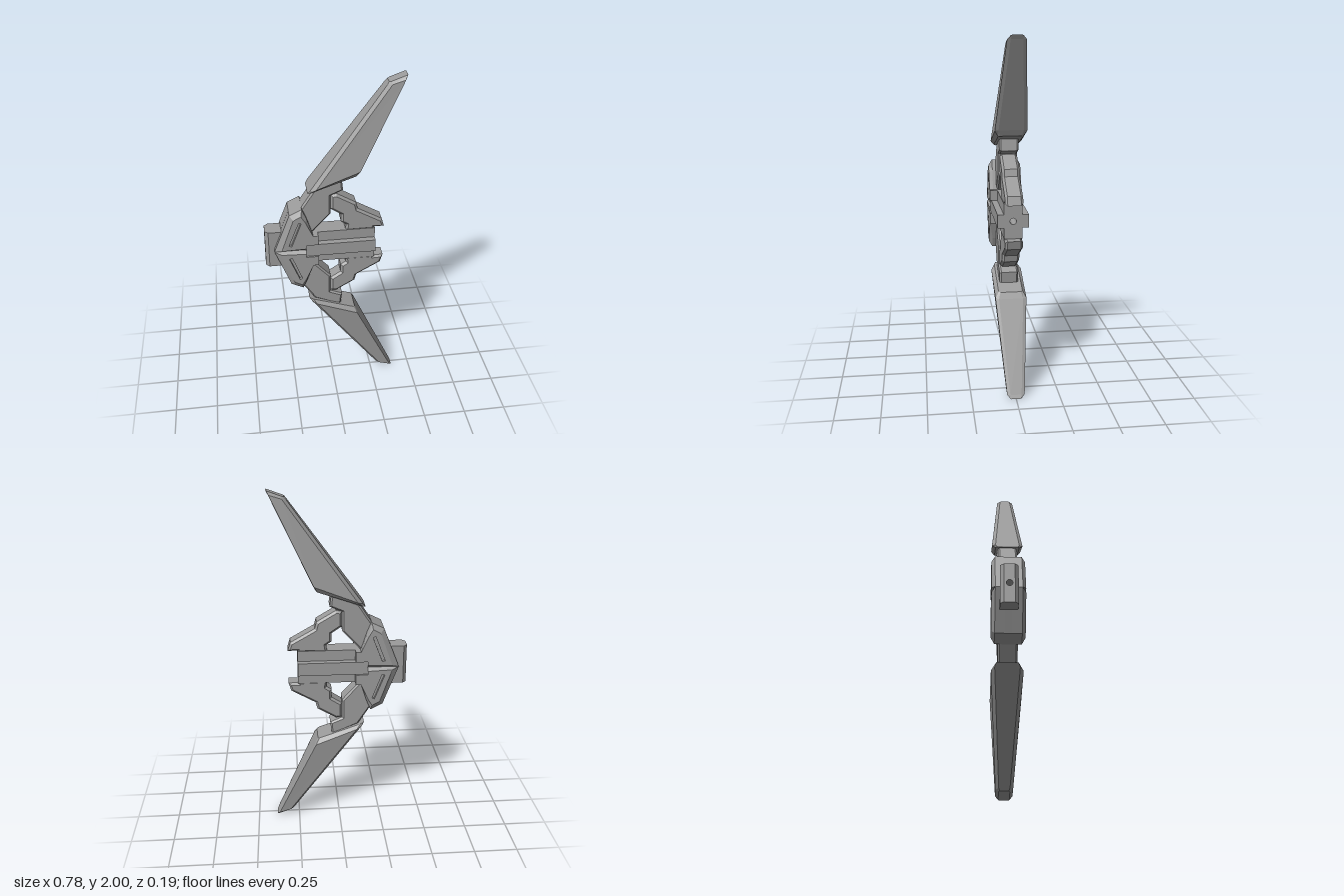
import * as THREE from 'three';

const material = new THREE.MeshStandardMaterial({ color: 0x9c9c9c, flatShading: true });
const vecs = pts => pts.map(([x, y]) => new THREE.Vector2(x, y));
const flip = pts => pts.map(([x, y]) => [x, -y]);
const lift = (pts, z) => pts.map(([x, y]) => [x, y, z]);

function mesh(name, geometry) {
  const m = new THREE.Mesh(geometry, material);
  m.name = name;
  return m;
}

// Flat slab between z0 and z1, with optional bevel and holes
function slab(pts, z0, z1, bevel = 0, holes = []) {
  const shape = new THREE.Shape(vecs(pts));
  holes.forEach(h => shape.holes.push(new THREE.Path(vecs(h))));
  const g = new THREE.ExtrudeGeometry(shape, {
    depth: z1 - z0 - 2 * bevel, bevelEnabled: bevel > 0, bevelSegments: 1,
    bevelThickness: bevel, bevelSize: bevel, bevelOffset: -bevel,
  });
  return g.translate(0, 0, z0 + bevel);
}

// Section in (z, y) with a round bore, extruded along x
function bored(pts, x0, length, steps = 1) {
  const shape = new THREE.Shape(vecs(pts));
  shape.holes.push(new THREE.Path().absarc(0, 0, 0.018, 0, Math.PI * 2, true));
  const g = new THREE.ExtrudeGeometry(shape, { depth: length, steps, bevelEnabled: false, curveSegments: 8 });
  return g.rotateY(Math.PI / 2).translate(x0, 0, 0);
}

// Faceted skin through rings of equal point count
function loft(rings, caps) {
  const pos = [];
  const tri = (...p) => p.forEach(v => pos.push(...v));
  const n = rings[0].length;
  for (let r = 0; r + 1 < rings.length; r++) {
    const a = rings[r], b = rings[r + 1];
    for (let i = 0; i < n; i++) {
      const j = (i + 1) % n;
      tri(a[i], a[j], b[j]);
      tri(a[i], b[j], b[i]);
    }
  }
  if (caps) {
    const a = rings[0], b = rings[rings.length - 1];
    for (let i = 1; i + 1 < n; i++) {
      tri(a[0], a[i + 1], a[i]);
      tri(b[0], b[i], b[i + 1]);
    }
  }
  const g = new THREE.BufferGeometry();
  g.setAttribute('position', new THREE.Float32BufferAttribute(pos, 3));
  g.computeVertexNormals();
  return g;
}

// Chamfered blade section: half thickness h, edge faces of half width k,
// chamfers reaching co and ci along the way from outer to inner edge
function bladeSection([ox, oy], [ix, iy], h, k, co, ci) {
  return [[-k, 0], [k, 0], [h, co], [h, 1 - ci], [k, 1], [-k, 1], [-h, 1 - ci], [-h, co]]
    .map(([z, s]) => [ox + (ix - ox) * s, oy + (iy - oy) * s, z]);
}

// Blade, arm and claw of one limb
function createLimb(name) {
  const g = new THREE.Group();
  g.name = name;
  g.add(mesh('blade', loft([
    bladeSection([-0.145, 0.36], [0.13, 0.455], 0.07, 0.06, 0.08, 0.03),
    bladeSection([-0.13, 0.381], [0.148, 0.49], 0.09, 0.07, 0.11, 0.02),
    bladeSection([0.279, 0.95], [0.376, 0.98], 0.05, 0.032, 0.25, 0.04),
    bladeSection([0.29, 0.965], [0.387, 1], 0.032, 0.026, 0.12, 0.04),
  ], true)));
  g.add(mesh('arm', slab([
    [-0.2, 0.15], [-0.12, 0.1], [-0.015, 0.215], [-0.015, 0.33],
    [0.055, 0.36], [0.045, 0.44], [-0.11, 0.375], [-0.185, 0.26],
  ], -0.055, 0.055, 0.01)));
  g.add(mesh('claw', slab([
    [-0.015, 0.24], [0.045, 0.2], [0.045, 0.15], [0.075, 0.13], [0.07, 0.09], [0.24, 0.09], [0.24, 0.1],
    [0.295, 0.1], [0.28, 0.15], [0.14, 0.23], [0.13, 0.27], [0.02, 0.335], [-0.015, 0.33],
  ], -0.05, 0.05, 0.013)));
  // middle layer of the hub, leaving the bore free
  g.add(mesh('hubCore', slab([
    [-0.335, 0.018], [-0.09, 0.018], [-0.09, 0.1], [-0.12, 0.1], [-0.155, 0.21], [-0.18, 0.27], [-0.25, 0.235],
  ], -0.018, 0.018)));
  return g;
}

// Bevelled, slotted cheek of the hub, split by a V groove that runs to its point
function createHubCheek(name) {
  const g = new THREE.Group();
  g.name = name;
  const notch = [[-0.12, 0.1], [-0.09, 0.1], [-0.09, 0.04], [-0.16, 0.04]];
  const outer = [[-0.34, 0], [-0.25, 0.235], [-0.18, 0.27], [-0.155, 0.21], ...notch, [-0.16, 0]];
  const inset = [[-0.3, 0.013], [-0.23, 0.212], [-0.187, 0.235], [-0.163, 0.195], ...notch, [-0.16, 0.018]];
  const slot = [[-0.258, 0.045], [-0.242, 0.04], [-0.186, 0.188], [-0.2, 0.194]];
  // upper half turned counter-clockwise, lower half mirrored
  [pts => [...pts].reverse(), flip].forEach(half => {
    g.add(mesh('cheekPlate', slab(half(outer), 0.018, 0.075)));
    g.add(mesh('cheekBevel', loft([lift(half(outer), 0.075), lift(half(inset), 0.095)])));
    g.add(mesh('slottedFace', slab(half(inset), 0.077, 0.095, 0, [half(slot)])));
  });
  return g;
}

export function createModel() {
  const model = new THREE.Group();
  model.name = 'doubleBlade';
  const body = new THREE.Group();
  body.name = 'body';
  body.position.y = 1;
  model.add(body);

  // upper and lower limbs, front and back cheeks: half a turn about x
  ['upperLimb', 'lowerLimb'].forEach((name, i) => {
    const limb = createLimb(name);
    limb.rotation.x = i * Math.PI;
    const cheek = createHubCheek(['frontHub', 'backHub'][i]);
    cheek.rotation.x = i * Math.PI;
    body.add(limb, cheek);
  });

  // spine with a raised rib on both faces
  body.add(mesh('spine', bored([
    [-0.052, -0.1], [0.052, -0.1], [0.052, -0.038], [0.087, -0.038], [0.087, 0.038], [0.052, 0.038],
    [0.052, 0.1], [-0.052, 0.1], [-0.052, 0.038], [-0.087, 0.038], [-0.087, -0.038], [-0.052, -0.038],
  ], -0.16, 0.4)));

  // end block with chamfered upright edges
  const block = bored([[-0.05, -0.115], [0.05, -0.115], [0.05, 0.115], [-0.05, 0.115]], -0.39, 0.12, 6);
  const p = block.attributes.position;
  for (let i = 0; i < p.count; i++) {
    if (p.getX(i) < -0.385 && Math.abs(p.getZ(i)) > 0.04) p.setZ(i, Math.sign(p.getZ(i)) * 0.03);
  }
  block.computeVertexNormals();
  body.add(mesh('endBlock', block));
  return model;
}
